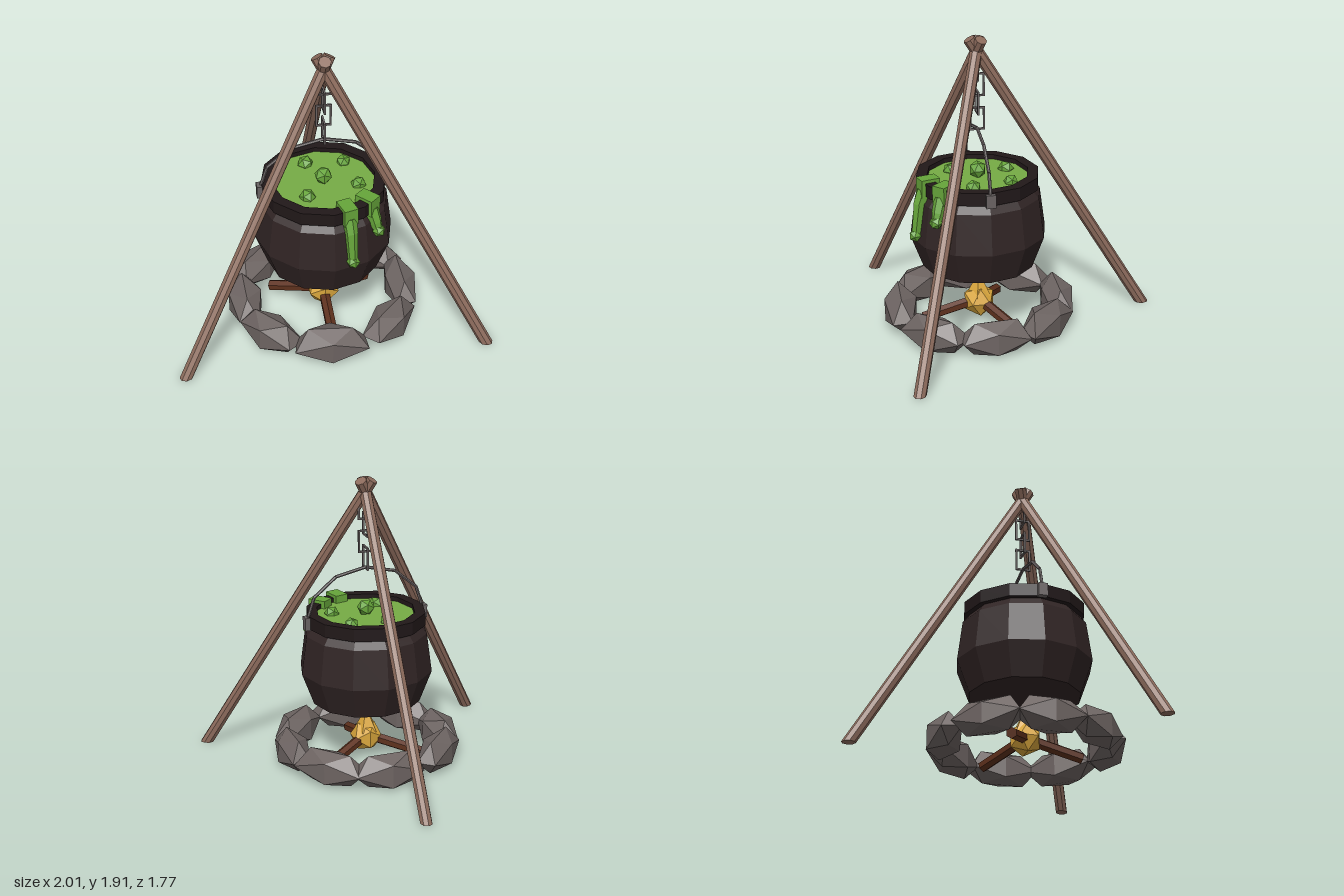
import * as THREE from 'three';

const V = (x, y, z) => new THREE.Vector3(x, y, z);
const UP = V(0, 1, 0);
const TURN = Math.PI * 2;

function makeMaterial(name, color) {
  const m = new THREE.MeshStandardMaterial({ color });
  m.name = name;
  return m;
}

// Faceted copy of a geometry
function facet(geo) {
  const g = geo.index ? geo.toNonIndexed() : geo;
  g.computeVertexNormals();
  return g;
}

function add(parent, name, geo, material, x = 0, y = 0, z = 0) {
  const mesh = new THREE.Mesh(facet(geo), material);
  mesh.name = name;
  mesh.position.set(x, y, z);
  parent.add(mesh);
  return mesh;
}

function addGroup(parent, name) {
  const g = new THREE.Group();
  g.name = name;
  parent.add(g);
  return g;
}

// Cylinder running from a to b
function rod(a, b, ra, rb, sides) {
  const d = b.clone().sub(a);
  const geo = new THREE.CylinderGeometry(rb, ra, d.length(), sides);
  geo.applyQuaternion(new THREE.Quaternion().setFromUnitVectors(UP, d.normalize()));
  const mid = a.clone().add(b).multiplyScalar(0.5);
  return geo.translate(mid.x, mid.y, mid.z);
}

// Point at an angle around the vertical axis, starting from the front
const polar = (angle, r, y) => V(Math.sin(angle) * r, y, Math.cos(angle) * r);

export function createModel() {
  const wood = makeMaterial('pole wood', 0x8d6c5d);
  const iron = makeMaterial('dark iron', 0x302424);
  const rimIron = makeMaterial('rim iron', 0x211819);
  const metal = makeMaterial('grey metal', 0x696262);
  const brew = makeMaterial('green brew', 0x76ab45);
  const slime = makeMaterial('green slime', 0x66a53a);
  const rock = makeMaterial('grey rock', 0x6d6462);
  const logWood = makeMaterial('log wood', 0x5e301c);
  const flame = makeMaterial('flame', 0xd9a63c);

  const model = new THREE.Group();
  model.name = 'cauldronCampfire';
  const centre = addGroup(model, 'centre');
  centre.position.z = 0.27;

  // Tripod: poles cross near the top, feet are cut flat on the ground
  const tripod = addGroup(centre, 'tripod');
  for (let i = 0; i < 3; i++) {
    const angle = TURN * (i / 3 + 1 / 6);
    const foot = polar(angle, 1.108, 0);
    const top = polar(angle, -0.045, 1.89);
    const geo = rod(foot, top, 0.039, 0.039, 8);
    const d = top.clone().sub(foot);
    const p = geo.attributes.position;
    for (let k = 0; k < p.count; k++) {
      if (p.getY(k) > 0.5) continue;
      const t = -p.getY(k) / d.y;
      p.setXYZ(k, p.getX(k) + d.x * t, 0, p.getZ(k) + d.z * t);
    }
    add(tripod, 'pole', geo, wood);
  }

  // Chain of rectangular links, each turned a quarter from the last
  const chain = addGroup(centre, 'chain');
  for (let i = 0; i < 4; i++) {
    const w = 0.05, h = 0.076, t = 0.012;
    const shape = new THREE.Shape([[-w, -h], [w, -h], [w, h], [-w, h]].map(q => new THREE.Vector2(...q)));
    shape.holes.push(new THREE.Path([[t - w, t - h], [t - w, h - t], [w - t, h - t], [w - t, t - h]].map(q => new THREE.Vector2(...q))));
    const geo = new THREE.ExtrudeGeometry(shape, { depth: t, bevelEnabled: false }).translate(0, 0, -t / 2);
    const link = add(chain, 'chainLink', geo, metal, 0, 1.375 + i * 0.11, 0);
    link.rotation.y = i % 2 ? 0 : Math.PI / 2;
  }

  // Handle arch and its side brackets
  const handle = addGroup(centre, 'handle');
  const arch = i => V(Math.cos(i * Math.PI / 6) * 0.405, 0.97 + Math.sin(i * Math.PI / 6) * 0.34, 0);
  for (let i = 0; i < 6; i++) add(handle, 'handleBar', rod(arch(i), arch(i + 1), 0.011, 0.011, 6), metal);
  for (const s of [-1, 1]) add(handle, 'handleBracket', new THREE.BoxGeometry(0.04, 0.085, 0.06), metal, s * 0.4, 0.972, 0);

  // Pot body, rim and brew surface
  const lathe = pts => new THREE.LatheGeometry(pts.map(q => new THREE.Vector2(...q)), 12);
  const pot = addGroup(centre, 'pot');
  add(pot, 'potBody', lathe([[0, 0.36], [0.36, 0.405], [0.44, 0.62], [0.405, 0.88], [0.355, 0.94]]), iron);
  add(pot, 'potRim', lathe([[0.345, 0.935], [0.395, 0.935], [0.395, 1.02], [0.325, 1.02], [0.325, 0.95]]), rimIron);
  add(pot, 'brewSurface', new THREE.CylinderGeometry(0.326, 0.326, 0.02, 12), brew, 0, 0.98, 0);

  // Bubbles: x, y, z, radius
  const bubbles = addGroup(centre, 'bubbles');
  const spots = [[0, 1.035, 0, 0.058], [-0.08, 0.995, -0.2, 0.052], [0.16, 0.995, -0.18, 0.048],
    [-0.125, 0.995, 0.15, 0.052], [0.21, 0.995, 0.07, 0.05]];
  spots.forEach(([x, y, z, r], i) => {
    add(bubbles, 'bubble', new THREE.IcosahedronGeometry(r, 0), slime, x, y, z).rotation.y = i * 0.8;
  });

  // Drips running over the rim: angle, end radius, end height
  for (const [angle, r, y] of [[0.26, 0.435, 0.67], [0.73, 0.43, 0.815]]) {
    const drip = addGroup(centre, 'drip');
    drip.rotation.y = angle;
    add(drip, 'dripFold', new THREE.BoxGeometry(0.09, 0.115, 0.125), slime, 0, 0.983, 0.345);
    add(drip, 'dripRun', rod(V(0, 0.96, 0.375), V(0, 0.87, 0.41), 0.045, 0.041, 6), slime);
    add(drip, 'dripTail', rod(V(0, 0.88, 0.405), V(0, y, r), 0.041, 0.03, 6), slime);
    add(drip, 'dripBead', new THREE.IcosahedronGeometry(0.043, 0), slime, 0, y, r + 0.005);
  }

  // Ring of faceted stones, flat on the ground: angle in degrees, length and height factors
  const stones = addGroup(centre, 'stoneRing');
  const ring = [[-4, 1, 1.08], [46, 0.98, 0.98], [90, 0.96, 0.98], [135, 1.02, 1], [177, 1.03, 1.02],
    [228, 1, 0.98], [270, 0.93, 0.96], [310, 0.97, 1]];
  ring.forEach(([deg, long, tall], i) => {
    const geo = new THREE.IcosahedronGeometry(1, 0);
    geo.scale(0.265 * long, 0.14 * tall, 0.12);
    const p = geo.attributes.position;
    for (let k = 0; k < p.count; k++) {
      const x = p.getX(k), y = p.getY(k), z = p.getZ(k);
      const bump = 1 + 0.05 * Math.sin(x * 31 + y * 47 + z * 23 + i * 2.3);
      p.setXYZ(k, x * bump, Math.max(y * bump + 0.095, 0), z * bump);
    }
    const a = THREE.MathUtils.degToRad(deg);
    const at = polar(a, 0.515, 0);
    add(stones, 'stone', geo, rock, at.x, 0, at.z).rotation.y = a;
  });

  // Logs leaning together, with the flame in the middle
  const fire = addGroup(centre, 'fire');
  for (let i = 0; i < 3; i++) {
    const a = TURN * i / 3;
    add(fire, 'log', rod(polar(a, 0.37, 0.04), polar(a, 0.02, 0.13), 0.036, 0.036, 6), logWood);
  }
  add(fire, 'flameBase', new THREE.IcosahedronGeometry(0.11, 0), flame, 0, 0.13, 0);
  add(fire, 'flameTip', new THREE.ConeGeometry(0.085, 0.16, 5), flame, 0, 0.25, 0);

  return model;
}
